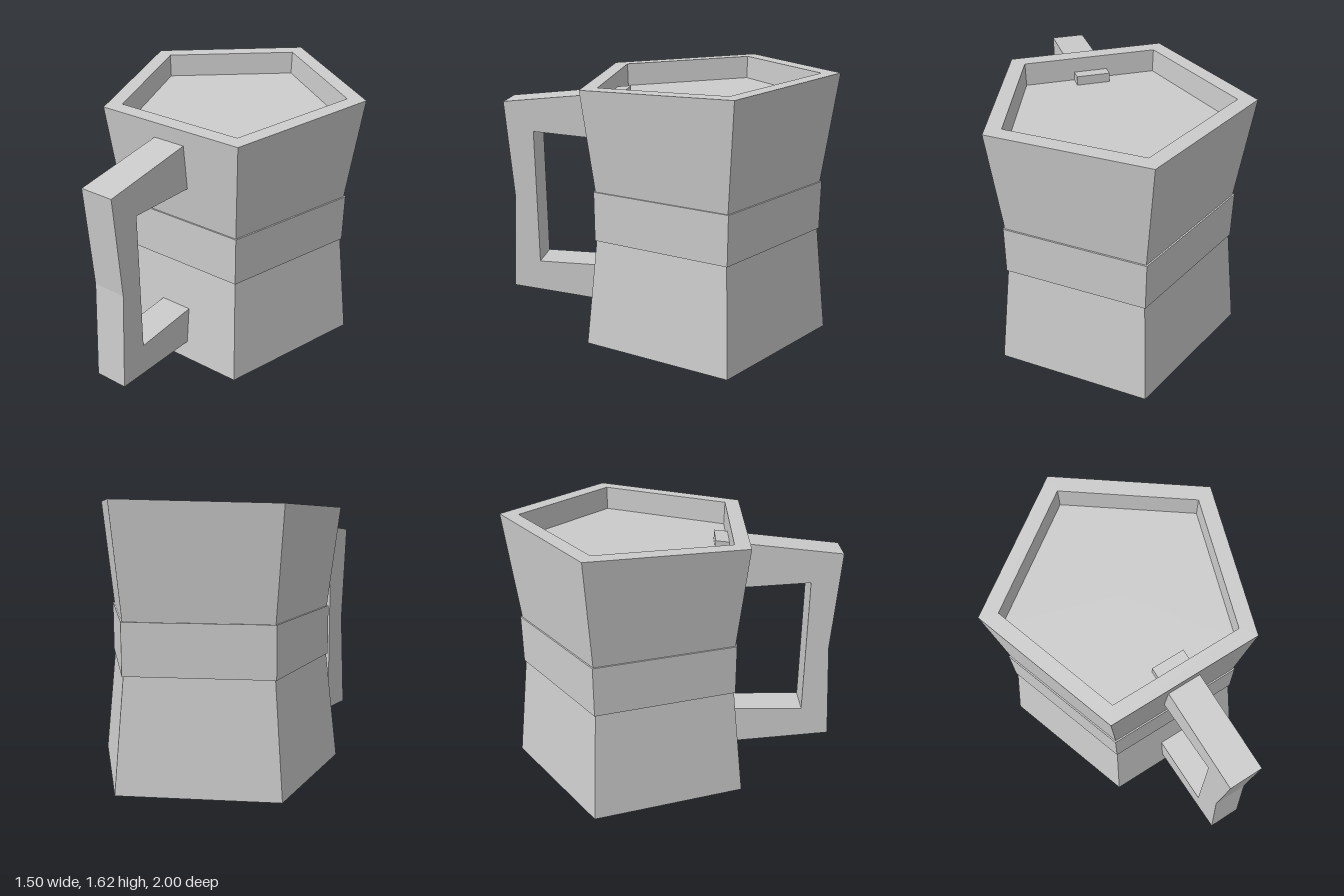
import * as THREE from 'three';

const SIDES = 5, CENTRE_Z = -0.214, TILT = 0.039;

// Stacks pentagon rings [radius, y, slope] into one flat-shaded surface.
function pentagonLoft(rings) {
  const point = ([r, y, slope = 0], k) => {
    const a = (k * 2 * Math.PI) / SIDES;
    const z = CENTRE_Z - r * Math.cos(a);
    return [r * Math.sin(a), y - slope * (z - 0.42), z];
  };
  const pos = [];
  for (let i = 0; i < rings.length - 1; i++) {
    const lo = rings[i], hi = rings[i + 1];
    for (let k = 0; k < SIDES; k++) {
      if (lo[0] > 0) pos.push(...point(lo, k + 1), ...point(lo, k), ...point(hi, k));
      if (hi[0] > 0) pos.push(...point(lo, k + 1), ...point(hi, k), ...point(hi, k + 1));
    }
  }
  const geo = new THREE.BufferGeometry();
  geo.setAttribute('position', new THREE.Float32BufferAttribute(pos, 3));
  geo.computeVertexNormals();
  return geo;
}

export function createModel() {
  const group = new THREE.Group();
  const clay = new THREE.MeshStandardMaterial({ color: 0xcccccc });
  clay.name = 'lightGrey';
  const add = (name, geo) => {
    const mesh = new THREE.Mesh(geo, clay);
    mesh.name = name;
    group.add(mesh);
  };

  // Waisted body with a slanted rim and a shallow recess
  add('mugBody', pentagonLoft([
    [0, 0], [0.786, 0], [0.707, 0.66], [0.707, 0.96],
    [0.786, 1.56, TILT], [0.676, 1.56, TILT],
    [0.671, 1.42, TILT], [0, 1.42, TILT],
  ]));

  // Raised band around the waist
  add('waistBand', pentagonLoft([
    [0.707, 0.66], [0.718, 0.66], [0.718, 0.96], [0.707, 0.96],
  ]));

  // Handle: side outline in (z, y), extruded across x; its top end shows inside the recess
  const outline = new THREE.Shape([
    [0.25, 1.483], [1, 1.4], [0.96, 0.79], [1, 0.18], [0.25, 0.104],
    [0.25, 0.36], [0.82, 0.36], [0.82, 1.22], [0.25, 1.18],
  ].map(([z, y]) => new THREE.Vector2(-z, y)));
  const handle = new THREE.ExtrudeGeometry(outline, { depth: 0.2, bevelEnabled: false });
  handle.translate(0, 0, -0.1).rotateY(Math.PI / 2);
  add('handle', handle);

  return group;
}
